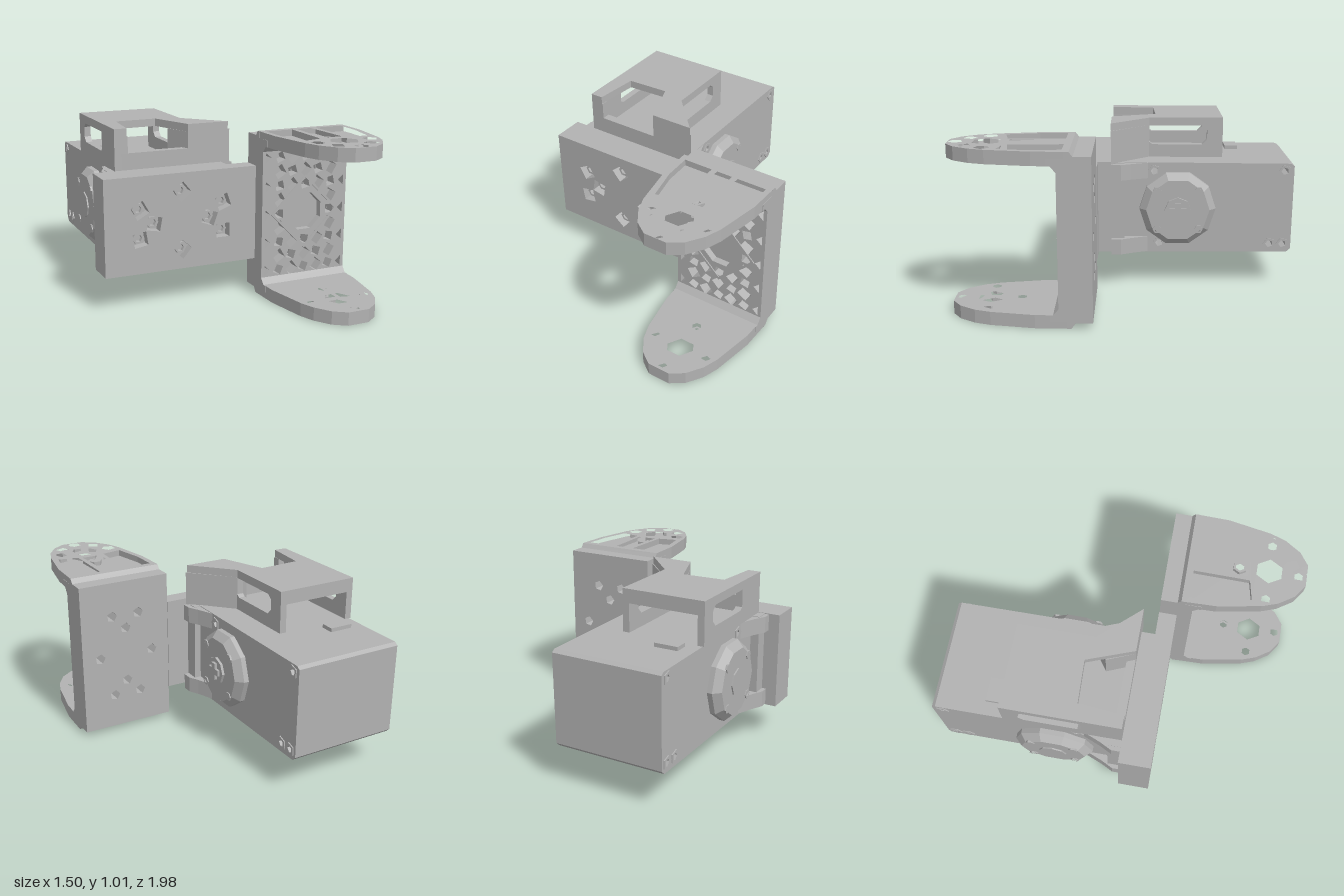
import * as THREE from 'three';

const grey = new THREE.MeshStandardMaterial({ color: 0xb2b2b2, flatShading: true });
grey.name = 'plain grey';

// Regular polygon as a list of points
const ngon = (cx, cy, r, n = 6, turn = 0) => Array.from({ length: n }, (_, i) => {
  const a = turn + (i / n) * Math.PI * 2;
  return [cx + r * Math.cos(a), cy + r * Math.sin(a)];
});

// Extrude an outline with holes between two positions along one axis:
// 'z' takes (x, y) points, 'x' takes (z, y) points, 'y' takes (x, z) points
function slab(name, axis, from, to, outline, holes = []) {
  const map = ([a, b]) => axis === 'x' ? new THREE.Vector2(-a, b)
    : axis === 'y' ? new THREE.Vector2(a, -b) : new THREE.Vector2(a, b);
  const shape = new THREE.Shape(outline.map(map));
  shape.holes = holes.map(h => new THREE.Path(h.map(map)));
  const geo = new THREE.ExtrudeGeometry(shape, { depth: to - from, bevelEnabled: false });
  geo.translate(0, 0, from);
  if (axis === 'x') geo.rotateY(Math.PI / 2);
  if (axis === 'y') geo.rotateX(-Math.PI / 2);
  const mesh = new THREE.Mesh(geo, grey);
  mesh.name = name;
  return mesh;
}
const rect = (a0, b0, a1, b1) => [[a0, b0], [a1, b0], [a1, b1], [a0, b1]];
const box = (name, x0, x1, y0, y1, z0, z1) => slab(name, 'z', z0, z1, rect(x0, y0, x1, y1));

// Eight bolt positions shared by both plates
const bolts = [];
for (const s of [-1, 1]) bolts.push([0, s * 0.17], [-0.085, s * 0.255], [0.085, s * 0.255], [s * 0.17, 0]);

function makeMount() {
  const g = new THREE.Group();
  g.name = 'mountPlate';
  g.add(slab('plateBack', 'y', 0.21, 0.775,
    [[-0.75, 0.1], [0.04, 0.1], [0.04, 0.18], [0.18, 0.18], [0.18, 0.225], [-0.75, 0.225]]));
  const spots = bolts.map(([a, b]) => [-0.285 + b, 0.495 + a]);
  g.add(slab('plateFront', 'z', 0.225, 0.285, rect(-0.75, 0.21, 0.18, 0.775),
    spots.map(([x, y], i) => ngon(x, y, 0.058, 4, 0.6 + i * 0.35))));
  for (const [x, y] of spots)
    g.add(slab('boltRing', 'z', 0.225, 0.25, ngon(x, y, 0.036, 6), [ngon(x, y, 0.022, 6)]));
  return g;
}

// One arm of the fork, drawn at the top
function makeArm() {
  const g = new THREE.Group();
  g.name = 'forkArm';
  const cx = 0.4635;
  const half = [[0.282, 0.32], [0.277, 0.5], [0.232, 0.75], [0.2, 0.84], [0.14, 0.93], [0.065, 0.982]];
  const outline = [...half.map(([x, z]) => [cx + x, z]), ...half.slice().reverse().map(([x, z]) => [cx - x, z])];
  const holes = [ngon(cx, 0.77, 0.085, 6), ngon(cx, 0.6, 0.028), ngon(cx, 0.94, 0.028),
    ngon(cx - 0.17, 0.77, 0.028), ngon(cx + 0.17, 0.77, 0.028)];
  g.add(slab('armInnerSkin', 'y', 0.905, 0.945, outline, holes));
  // Ribs and pockets on the outer face
  const pockets = [holes[0], ngon(cx, 0.94, 0.042, 5),
    [[cx - 0.045, 0.34], [cx + 0.045, 0.34], [cx + 0.06, 0.65], [cx - 0.06, 0.65]]];
  for (const s of [-1, 1]) {
    pockets.push([[cx + s * 0.08, 0.34], [cx + s * 0.25, 0.34], [cx + s * 0.245, 0.5],
      [cx + s * 0.205, 0.69], [cx + s * 0.085, 0.665]]);
    pockets.push(ngon(cx + s * 0.165, 0.77, 0.045, 5), ngon(cx + s * 0.105, 0.875, 0.042, 4, 0.4 * s));
  }
  g.add(slab('armRibs', 'y', 0.945, 0.982, outline, pockets));
  g.add(slab('boltRing', 'y', 0.945, 0.97, ngon(cx, 0.6, 0.042), [holes[1]]));
  // Filleted root joining the plate
  g.add(slab('armRoot', 'x', 0.181, 0.746,
    [[0.28, 0.955], [0.3, 0.982], [0.325, 0.982], [0.325, 0.945], [0.42, 0.945], [0.42, 0.905],
      [0.4, 0.905], [0.37, 0.87], [0.28, 0.87]]));
  return g;
}

function makeFork() {
  const g = new THREE.Group();
  g.name = 'forkBracket';
  const cx = 0.4635, cy = 0.491;
  g.add(slab('forkPlate', 'z', 0.183, 0.3, rect(0.181, 0.03, 0.746, 0.955),
    bolts.map(([a, b]) => ngon(cx + a, cy + b, 0.033, 5, 0.5))));
  // Waffle lattice: square sockets alternate with diamond pockets around a hub
  const cells = [ngon(cx, cy, 0.118, 8, Math.PI / 8)];
  for (let i = -3; i <= 3; i++) for (let j = -4; j <= 4; j++) {
    const x = cx + i * 0.085, y = cy + j * 0.085;
    if (Math.abs(i) + Math.abs(j) < 2 || (Math.abs(i) === 1 && Math.abs(j) === 1)) continue;
    if (Math.abs(i) === 3) continue;
    const even = (i + j) % 2 === 0;
    cells.push(ngon(x, y, even ? 0.037 : 0.046, 4, even ? Math.PI / 4 + 0.1 * j : 0.12 * i));
  }
  for (const s of [-1, 1]) for (let j = -4; j <= 4; j++) {
    const x = cx + s * 0.262, y = cy + j * 0.085;
    if (j % 2 === 0) cells.push([[x, y - 0.032], [x - s * 0.035, y], [x, y + 0.032]]);
  }
  g.add(slab('lattice', 'z', 0.3, 0.37, rect(0.181, 0.1, 0.746, 0.88), cells));
  // Diamond frame around the hub
  const d = 0.225, e = 0.205;
  g.add(slab('hubFrame', 'z', 0.37, 0.376, ngon(cx, cy, d, 4), [ngon(cx, cy, e, 4)]));
  g.add(slab('hubDisc', 'z', 0.3, 0.33, ngon(cx, cy, 0.117, 8, Math.PI / 8)));
  g.add(makeArm());
  const lower = new THREE.Group();
  lower.name = 'lowerArm';
  lower.add(makeArm());
  lower.rotation.z = Math.PI;
  lower.position.set(2 * cx, 2 * cy, 0);
  g.add(lower);
  return g;
}

// Turned horn with four screws and a centre cross, facing +x
function makeHorn(name, center) {
  const g = new THREE.Group();
  g.name = name;
  const pts = [[0, 0], [0.23, 0], [0.23, 0.03], [0.19, 0.07], [0, 0.07]].map(p => new THREE.Vector2(...p));
  const disc = new THREE.Mesh(new THREE.LatheGeometry(pts, 10), grey);
  disc.rotation.z = -Math.PI / 2;
  disc.name = 'hornDisc';
  g.add(disc);
  for (const a of [-1, 1]) for (const b of [-1, 1])
    g.add(slab('hornScrew', 'x', 0.065, 0.076, ngon(a * 0.125, b * 0.118, 0.026, 6), [ngon(a * 0.125, b * 0.118, 0.015, 6)]));
  if (center) {
    g.add(slab('hornHub', 'x', 0.065, 0.085, ngon(0, 0, 0.08, 8)));
    g.add(slab('crossBar', 'x', 0.08, 0.1, rect(-0.05, -0.018, 0.05, 0.018)));
    g.add(slab('crossBar', 'x', 0.08, 0.1, rect(-0.018, -0.05, 0.018, 0.05)));
  } else g.add(slab('hornHub', 'x', 0.065, 0.078, ngon(0, 0, 0.08, 8), [ngon(0, 0, 0.045, 6)]));
  return g;
}

function makeMotor() {
  const g = new THREE.Group();
  g.name = 'motor';
  // Body with screw holes running through the corners
  const holes = [[-0.16, 0.72], [-0.945, 0.72], [-0.19, 0.27], [-0.865, 0.265], [-0.945, 0.265]];
  g.add(slab('motorBody', 'x', -0.61, 0.04,
    [[0.1, 0.21], [-0.97, 0.212], [-0.995, 0.235], [-1, 0.75], [-0.98, 0.765], [0.1, 0.775]],
    holes.map(([z, y]) => ngon(z, y, 0.024, 5))));
  for (const x of [-0.616, 0.04]) for (const [z, y] of holes)
    g.add(slab('screwCollar', 'x', x, x + 0.006, ngon(z, y, 0.04, 5), [ngon(z, y, 0.024, 5)]));
  g.add(box('cableSocket', -0.53, -0.39, 0.76, 0.79, -0.7, -0.62));
  // Flange and corner gussets holding the motor
  g.add(box('flange', -0.66, 0.08, 0.212, 0.773, 0.02, 0.1));
  for (const [y0, y1] of [[0.215, 0.31], [0.675, 0.77]]) {
    g.add(slab('gusset', 'y', y0, y1, [[0.04, -0.12], [0.08, -0.02], [0.11, 0.04], [0.11, 0.1], [0.04, 0.1]]));
    g.add(slab('gusset', 'y', y0, y1, [[-0.61, -0.12], [-0.65, -0.02], [-0.685, 0.05], [-0.685, 0.1], [-0.61, 0.1]]));
  }
  const front = makeHorn('drivenHorn', true);
  front.position.set(0.04, 0.495, -0.3);
  const back = makeHorn('idlerHorn', false);
  back.position.set(-0.615, 0.495, -0.3);
  back.rotation.y = Math.PI;
  g.add(front, back);
  return g;
}

// Hollow cover on top of the motor, with windows on all four sides
function makeCover() {
  const g = new THREE.Group();
  g.name = 'cover';
  g.add(slab('coverRoof', 'y', 0.97, 1.015,
    [[-0.62, 0.1], [-0.545, 0.1], [-0.52, -0.16], [-0.27, -0.17], [-0.17, 0.1], [0.085, 0.1],
      [-0.125, -0.13], [-0.125, -0.58], [-0.62, -0.58]]));
  const window = [[-0.13, 0.865], [-0.15, 0.85], [-0.455, 0.85], [-0.485, 0.88], [-0.485, 0.94], [-0.455, 0.966], [-0.13, 0.966]];
  g.add(slab('leftSideWall', 'x', -0.165, -0.125, rect(-0.58, 0.77, -0.1, 0.97), [window]));
  g.add(slab('rightSideWall', 'x', -0.62, -0.58, rect(-0.58, 0.77, 0.1, 0.97), [window]));
  g.add(slab('cornerBlock', 'y', 0.77, 0.97,
    [[-0.17, 0.1], [0.095, 0.1], [-0.125, -0.13], [-0.165, -0.11], [-0.235, -0.06]]));
  g.add(box('frontSill', -0.58, -0.165, 0.77, 0.872, 0.05, 0.1));
  g.add(box('frontPost', -0.58, -0.54, 0.872, 0.97, 0.05, 0.1));
  g.add(box('backLintel', -0.58, -0.165, 0.935, 0.97, -0.58, -0.53));
  return g;
}

export function createModel() {
  const model = new THREE.Group();
  model.name = 'servoBracketAssembly';
  model.add(makeMount(), makeFork(), makeMotor(), makeCover());
  return model;
}
